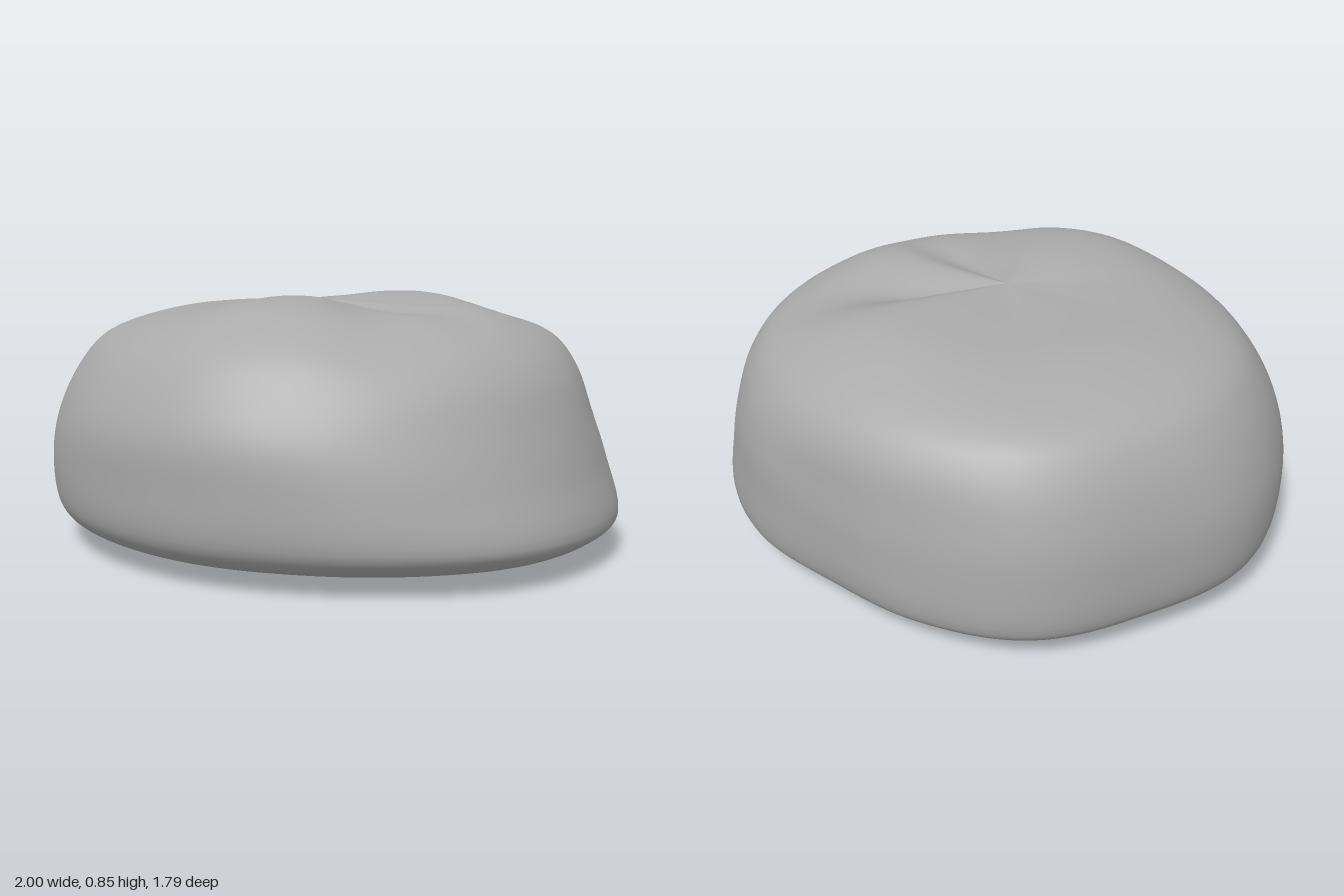
import * as THREE from 'three';
import { mergeVertices } from 'three/addons/utils/BufferGeometryUtils.js';

// One row per 22.5 degrees, from +x towards +z:
// radius at the rim and at heights .3 .45 .6 .7, then height at radius .55 and .3
const SECTIONS = [
  [1.0, 0.955, 0.905, 0.84, 0.75, 0.805, 0.815],
  [0.995, 0.95, 0.895, 0.825, 0.73, 0.785, 0.8],
  [0.935, 0.92, 0.875, 0.8, 0.7, 0.775, 0.81],
  [0.885, 0.895, 0.875, 0.8, 0.725, 0.805, 0.84],
  [0.875, 0.89, 0.885, 0.82, 0.74, 0.815, 0.845],
  [0.88, 0.895, 0.885, 0.815, 0.725, 0.79, 0.83],
  [0.91, 0.928, 0.905, 0.83, 0.735, 0.78, 0.81],
  [0.95, 0.968, 0.94, 0.87, 0.78, 0.78, 0.8],
  [0.985, 1.0, 0.97, 0.9, 0.81, 0.785, 0.8],
  [0.955, 0.97, 0.95, 0.895, 0.81, 0.785, 0.8],
  [0.97, 0.98, 0.96, 0.905, 0.82, 0.78, 0.8],
  [0.915, 0.925, 0.91, 0.875, 0.795, 0.79, 0.81],
  [0.875, 0.893, 0.885, 0.86, 0.785, 0.81, 0.825],
  [0.925, 0.93, 0.92, 0.875, 0.795, 0.81, 0.83],
  [0.965, 0.95, 0.92, 0.87, 0.79, 0.785, 0.8],
  [0.995, 0.955, 0.905, 0.85, 0.77, 0.795, 0.805],
];
const AROUND = 160;
const ALONG = 72;

// Smooth periodic blend between neighbouring sections
function sectionAt(t) {
  const n = SECTIONS.length;
  const f = t * n;
  const i = Math.floor(f);
  const u = f - i;
  const row = (k) => SECTIONS[(i + k + n) % n];
  return row(0).map((b, c) => {
    const a = row(-1)[c], d = row(1)[c], e = row(2)[c];
    return b + 0.5 * u * (d - a + u * (2 * a - 5 * b + 4 * d - e + u * (3 * (b - d) + e - a)));
  });
}

// Vertical outline from the underside centre to the top centre
function outline(s, angle) {
  const rim = 0.125 + 0.02 * Math.sin(angle);
  const points = [
    [0, 0], [0.3 * s[0], 0.003], [0.6 * s[0], 0.015], [0.82 * s[0], 0.042],
    [0.95 * s[0], 0.6 * rim], [s[0], rim], [s[1], 0.3], [s[2], 0.45], [s[3], 0.6],
    [s[4], 0.7], [0.55, s[5]], [0.3, s[6]], [0.12, (s[6] + 0.82) / 2], [0, 0.82],
  ];
  return new THREE.CatmullRomCurve3(points.map(([r, y]) => new THREE.Vector3(r, y, 0)));
}

// Folds running out from the top centre: angle, width, depth
const FOLDS = [[-0.66, 0.3, 0.035], [0.2, 0.2, 0.018], [2.2, 0.25, 0.005]];
function foldDepth(angle, r, y) {
  if (y < 0.6) return 0;
  const reach = THREE.MathUtils.smoothstep(r, -0.05, 0.3) * THREE.MathUtils.smoothstep(0.8 - r, 0, 0.45);
  let depth = 0;
  for (const [a, w, d] of FOLDS) {
    const off = Math.atan2(Math.sin(angle - a), Math.cos(angle - a)) / w;
    depth += d * reach * Math.exp(-off * off);
  }
  return depth;
}

function boulderGeometry() {
  const positions = [];
  const index = [];
  for (let i = 0; i < AROUND; i++) {
    const angle = (i / AROUND) * Math.PI * 2;
    const curve = outline(sectionAt(i / AROUND), angle);
    for (let j = 0; j <= ALONG; j++) {
      const p = curve.getPoint(j / ALONG);
      const pole = j === 0 || j === ALONG;
      const r = pole ? 0 : Math.max(p.x, 0);
      const y = pole ? p.y : p.y - foldDepth(angle, r, p.y);
      positions.push(r * Math.cos(angle), Math.max(y, 0), r * Math.sin(angle));
      if (j === ALONG) continue;
      const a = i * (ALONG + 1) + j;
      const b = ((i + 1) % AROUND) * (ALONG + 1) + j;
      if (j < ALONG - 1) index.push(a, a + 1, b + 1);
      else index.push(a, a + 1, b);
      if (j > 0 && j < ALONG - 1) index.push(a, b + 1, b);
    }
  }
  const geometry = new THREE.BufferGeometry();
  geometry.setAttribute('position', new THREE.Float32BufferAttribute(positions, 3));
  geometry.setIndex(index);
  const merged = mergeVertices(geometry, 1e-5);
  merged.computeVertexNormals();
  return merged;
}

export function createModel() {
  const group = new THREE.Group();
  group.name = 'rock';
  const stone = new THREE.MeshStandardMaterial({ color: 0xaaaaaa });
  stone.name = 'grey stone';
  const boulder = new THREE.Mesh(boulderGeometry(), stone);
  boulder.name = 'boulder';
  group.add(boulder);
  return group;
}
